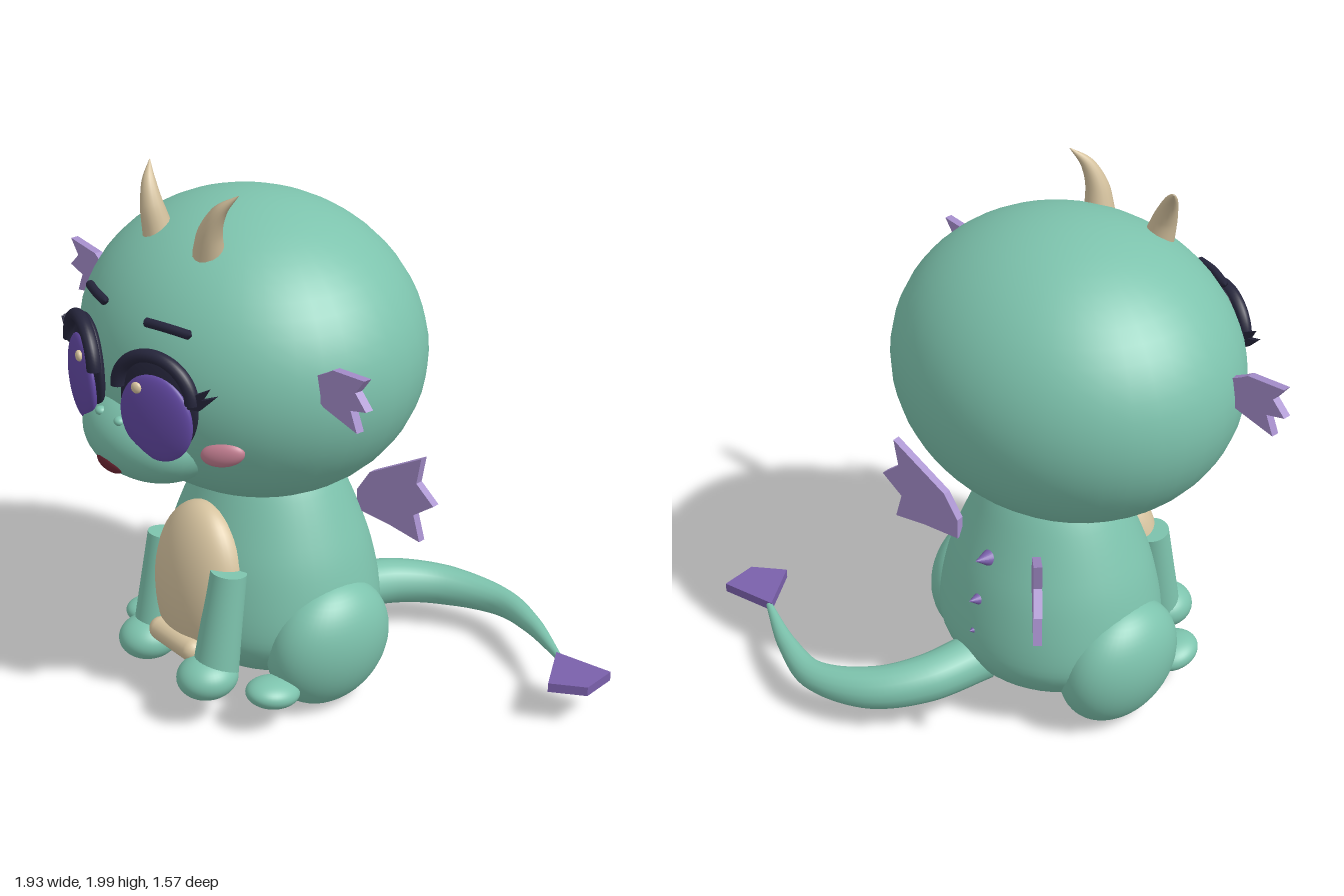
import * as THREE from 'three';

const mat = (name, color) => {
  const m = new THREE.MeshStandardMaterial({ color });
  m.name = name;
  return m;
};

export function createModel() {
  const skin = mat('mint skin', 0x7dc3ad);
  const cream = mat('cream', 0xd6c39f);
  const lilac = mat('lilac fins', 0xa58ecb);
  const purple = mat('deep purple', 0x7a60ab);
  const irisColor = mat('iris violet', 0x6248a3);
  const dark = mat('dark navy', 0x25253b);
  const pink = mat('cheek pink', 0xc47f92);
  const maroon = mat('mouth maroon', 0x702735);

  const model = new THREE.Group();
  model.name = 'babyDragon';
  const body = new THREE.Group();
  body.name = 'dragon';
  body.position.x = -0.13;
  model.add(body);

  const add = (name, geometry, material, parent = body) => {
    const mesh = new THREE.Mesh(geometry, material);
    mesh.name = name;
    parent.add(mesh);
    return mesh;
  };
  const ball = (name, material, pos, radii, rot = [0, 0, 0], parent = body) => {
    const mesh = add(name, new THREE.SphereGeometry(1, 40, 28), material, parent);
    mesh.position.set(...pos);
    mesh.scale.set(...radii);
    mesh.rotation.set(...rot);
    return mesh;
  };
  // round tube whose radius follows a list spread evenly along the path
  const sweep = (name, material, points, radii, steps = 32) => {
    const curve = new THREE.CatmullRomCurve3(points.map(p => new THREE.Vector3(...p)));
    const geo = new THREE.TubeGeometry(curve, steps, 1, 16);
    const pos = geo.attributes.position, v = new THREE.Vector3();
    for (let i = 0; i <= steps; i++) {
      const c = curve.getPointAt(i / steps);
      const f = (i / steps) * (radii.length - 1), k = Math.min(Math.floor(f), radii.length - 2);
      const r = THREE.MathUtils.lerp(radii[k], radii[k + 1], f - k);
      for (let j = 0; j <= 16; j++) {
        const n = i * 17 + j;
        v.fromBufferAttribute(pos, n).sub(c).multiplyScalar(r).add(c);
        pos.setXYZ(n, v.x, v.y, v.z);
      }
    }
    return add(name, geo, material);
  };
  // flat plate centred on z = 0
  const plate = (name, material, points, depth, parent = body) => {
    const shape = new THREE.Shape(points.map(p => new THREE.Vector2(...p)));
    const geo = new THREE.ExtrudeGeometry(shape, { depth, bevelEnabled: false });
    geo.translate(0, 0, -depth / 2);
    return add(name, geo, material, parent);
  };

  // torso
  const profile = new THREE.SplineCurve([
    [0, 0.1], [0.2, 0.108], [0.33, 0.15], [0.42, 0.25], [0.435, 0.36],
    [0.4, 0.54], [0.345, 0.69], [0.27, 0.85], [0.2, 0.95],
  ].map(p => new THREE.Vector2(...p))).getPoints(32);
  profile[0].x = 0;
  const torso = add('torso', new THREE.LatheGeometry(profile, 48), skin);
  torso.position.z = 0.055;
  torso.scale.z = 0.9;
  ball('belly', cream, [0, 0.453, 0.37], [0.222, 0.325, 0.14], [-0.06, 0, 0]);
  const fold = add('bellyFold', new THREE.CapsuleGeometry(0.045, 0.19, 8, 20), cream);
  fold.rotation.z = Math.PI / 2;
  fold.position.set(0, 0.26, 0.49);

  // head, muzzle and mouth
  ball('head', skin, [0, 1.352, 0.125], [0.66, 0.538, 0.585]);
  ball('muzzle', skin, [0, 1.14, 0.565], [0.285, 0.173, 0.215]);
  ball('mouth', maroon, [0, 1.063, 0.742], [0.068, 0.04, 0.028], [0.45, 0, 0]);

  for (const s of [1, -1]) {
    const side = s > 0 ? 'left' : 'right';

    // legs and arms
    ball(side + 'Thigh', skin, [s * 0.352, 0.258, 0.065], [0.17, 0.252, 0.253], [0, 0, -s * 0.14]);
    ball(side + 'Foot', skin, [s * 0.37, 0.155, 0.338], [0.09, 0.053, 0.105], [-0.18, 0, 0]);
    const top = new THREE.Vector3(s * 0.19, 0.59, 0.39);
    const low = new THREE.Vector3(s * 0.183, 0.19, 0.455);
    const arm = add(side + 'Arm', new THREE.CylinderGeometry(0.066, 0.085, top.distanceTo(low), 28), skin);
    arm.position.addVectors(top, low).multiplyScalar(0.5);
    arm.quaternion.setFromUnitVectors(new THREE.Vector3(0, 1, 0), top.clone().sub(low).normalize());
    ball(side + 'Hand', skin, [s * 0.18, 0.19, 0.487], [0.108, 0.08, 0.115]);

    // eye: dark ball, iris, glint, upper lid and lashes
    const eye = new THREE.Group();
    eye.name = side + 'Eye';
    eye.position.set(s * 0.205, 1.33, 0.675);
    eye.rotation.y = s * 0.32;
    body.add(eye);
    ball('eyeball', dark, [0, 0.01, 0], [0.156, 0.185, 0.035], [0, 0, 0], eye);
    ball('iris', irisColor, [s * 0.005, -0.035, 0.025], [0.145, 0.155, 0.035], [0, 0, 0], eye);
    ball('glint', cream, [-s * 0.055, 0.07, 0.05], [0.02, 0.02, 0.012], [0, 0, 0], eye);
    const lid = add('upperLid', new THREE.TorusGeometry(0.15, 0.025, 14, 40, Math.PI), dark, eye);
    lid.position.set(0, 0.05, 0.025);
    lid.scale.y = 0.9;
    plate('lash', dark, [[s * 0.13, 0.03], [s * 0.18, 0.035], [s * 0.245, 0.097], [s * 0.19, 0.075], [s * 0.215, 0.115], [s * 0.15, 0.08]], 0.02, eye)
      .position.z = 0.02;

    // face details
    ball(side + 'Nostril', skin, [s * 0.055, 1.235, 0.735], [0.021, 0.016, 0.02]);
    ball(side + 'Cheek', pink, [s * 0.395, 1.185, 0.56], [0.078, 0.044, 0.03], [0, s * 0.62, s * 0.2]);
    sweep(side + 'Brow', dark, [[s * 0.295, 1.588, 0.6], [s * 0.2, 1.597, 0.638], [s * 0.11, 1.595, 0.66]],
      [0, ...Array(15).fill(0.016), 0]);

    // horns
    sweep(side + 'Horn', cream,
      [[s * 0.14, 1.77, 0.412], [s * 0.165, 1.87, 0.42], [s * 0.2, 1.945, 0.405], [s * 0.247, 2, 0.365]],
      [0.057, 0.044, 0.026, 0.001]);

    // ear fins
    plate(side + 'EarFin', lilac, [[0.55, 1.42], [0.63, 1.373], [0.797, 1.34], [0.765, 1.41], [0.84, 1.43],
      [0.787, 1.48], [0.83, 1.535], [0.675, 1.52], [0.644, 1.5], [0.55, 1.45]].map(([x, y]) => [s * x, y]), 0.03)
      .position.z = 0.31;

    // wings, one swept further back than the other
    const wing = plate(side + 'Wing', lilac, [[0, 0.65], [0.16, 0.64], [0.3, 0.62], [0.27, 0.72], [0.36, 0.785],
      [0.28, 0.85], [0.3, 0.955], [0.06, 0.82], [0, 0.73]].map(([x, y]) => [s * x, y]), 0.03);
    wing.position.set(s * 0.2, 0, -0.21);
    wing.rotation.y = s > 0 ? 0.14 : -0.74;
  }

  // back spikes
  [[0.69, -0.275, 0.04, 0.085], [0.53, -0.315, 0.033, 0.07], [0.4, -0.335, 0.016, 0.03]].forEach(([y, z, r, h], i) => {
    const spike = add('backSpike' + (i + 1), new THREE.ConeGeometry(r, h, 20), purple);
    spike.position.set(0, y, z);
    spike.rotation.x = -Math.PI / 2 + 0.25;
  });

  // tail with a kite-shaped tip
  sweep('tail', skin, [[0.04, 0.22, -0.25], [0.1, 0.195, -0.48], [0.22, 0.17, -0.64], [0.43, 0.155, -0.738],
    [0.63, 0.16, -0.705], [0.87, 0.165, -0.61]], [0.095, 0.088, 0.077, 0.055, 0.034, 0.012], 48);
  const tip = plate('tailTip', purple, [[0.855, 0.61], [1.075, 0.665], [1.095, 0.525], [0.985, 0.435]], 0.036);
  tip.rotation.x = -Math.PI / 2;
  tip.position.y = 0.163;

  return model;
}
